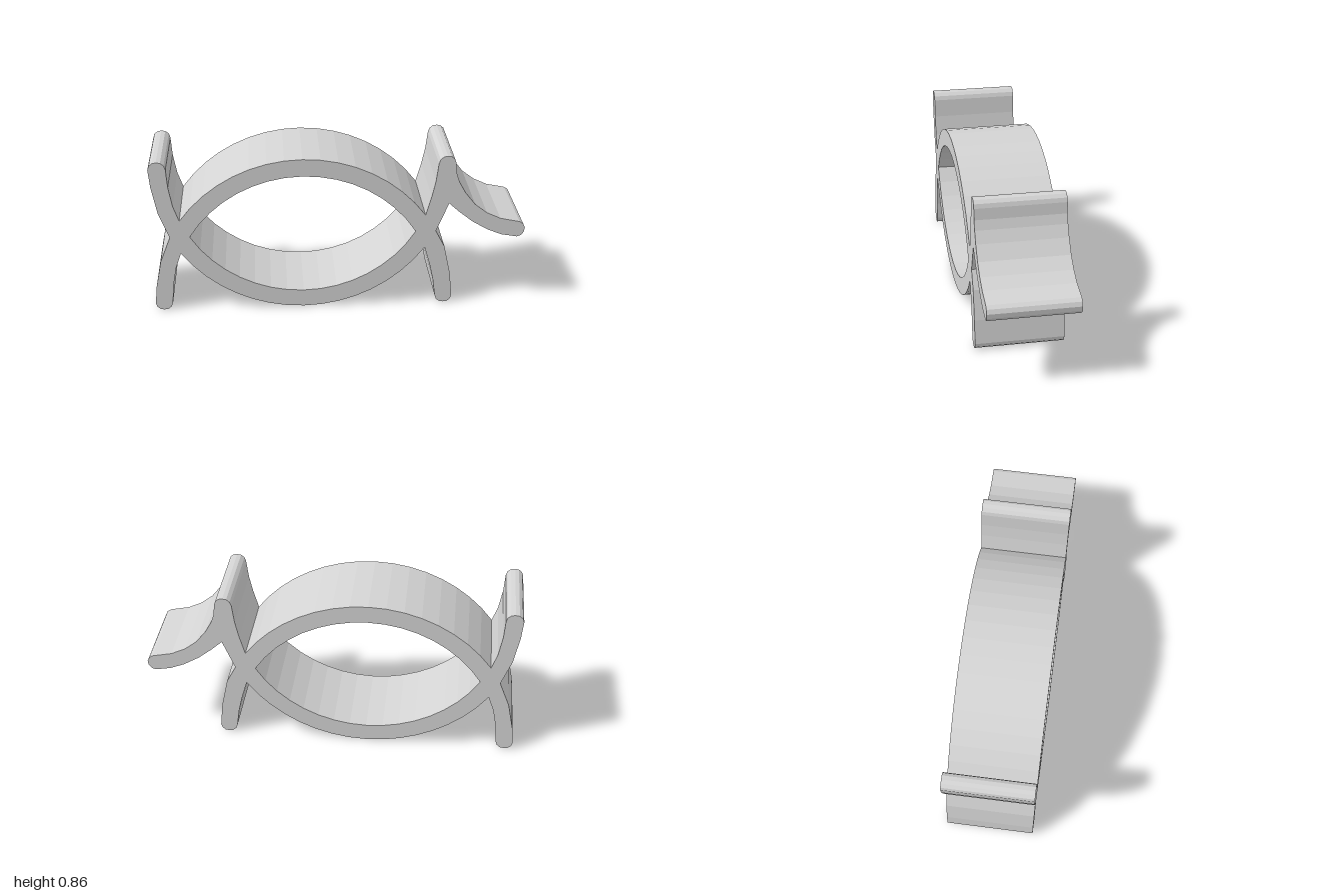
import * as THREE from 'three';

const DEPTH = 0.475;
const MID_Y = 0.43;          // horizontal mirror line
const CX = -0.195;           // centre of the lens-shaped body
const ARC_Y = 0.052;         // centre height of the upper arcs

const flip = (pts) => pts.map(([x, y]) => [x, 2 * MID_Y - y]).reverse();

// Upper arc from left to right, between -halfWidth and +halfWidth
function arc(radius, halfWidth, segments = 16) {
  const a = Math.asin(halfWidth / radius);
  return Array.from({ length: segments + 1 }, (_, i) => {
    const t = -a + (2 * a * i) / segments;
    return [CX + radius * Math.sin(t), ARC_Y + radius * Math.cos(t)];
  });
}

export function createModel() {
  const grey = new THREE.MeshStandardMaterial({ color: 0xd3d3d3 });
  grey.name = 'light grey';

  // Left arm, from the crossing up around its rounded tip
  const leftArm = [
    [-0.96, 0.57], [-0.99, 0.72], [-1, 0.82], [-0.993, 0.842], [-0.975, 0.857],
    [-0.955, 0.86], [-0.933, 0.857], [-0.915, 0.842], [-0.907, 0.82],
    [-0.9, 0.72], [-0.88, 0.61],
  ];
  // Inner edge and tip of the right arm, from the body outward
  const rightArm = [
    [0.49, 0.63], [0.51, 0.72], [0.523, 0.82], [0.531, 0.842], [0.549, 0.857],
    [0.57, 0.86], [0.591, 0.857], [0.608, 0.842], [0.615, 0.82],
  ];
  // Curved tail branching off the upper right arm
  const tail = [
    [0.62, 0.76], [0.637, 0.71], [0.67, 0.65], [0.725, 0.58], [0.79, 0.53],
    [0.865, 0.495], [0.97, 0.473], [0.99, 0.46], [1, 0.438], [0.996, 0.412],
    [0.98, 0.392], [0.96, 0.385], [0.875, 0.4], [0.8, 0.43], [0.715, 0.48],
    [0.64, 0.54], [0.585, 0.59],
  ];
  // Outer edge of the lower right arm
  const lowerEdge = [[0.568, 0.335], [0.602, 0.175]];

  const top = arc(0.808, 0.655);
  const outline = [
    [-0.905, MID_Y], ...leftArm, ...top, ...rightArm, ...tail,
    [0.518, MID_Y], ...lowerEdge, ...flip(rightArm), ...flip(top), ...flip(leftArm),
  ];

  // Lens-shaped opening, wound against the outline so its walls face inward
  const inner = arc(0.713, 0.604);
  const opening = [...inner, ...flip(inner).slice(1, -1)].reverse();

  const toVectors = (pts) => pts.map(([x, y]) => new THREE.Vector2(x, y));
  const shape = new THREE.Shape(toVectors(outline));
  shape.holes.push(new THREE.Path(toVectors(opening)));

  const geometry = new THREE.ExtrudeGeometry(shape, { depth: DEPTH, bevelEnabled: false });
  geometry.translate(0, 0, -DEPTH / 2);
  const body = new THREE.Mesh(geometry, grey);
  body.name = 'fishShapedBand';

  const group = new THREE.Group();
  group.name = 'fishShapedHolder';
  group.add(body);
  return group;
}
